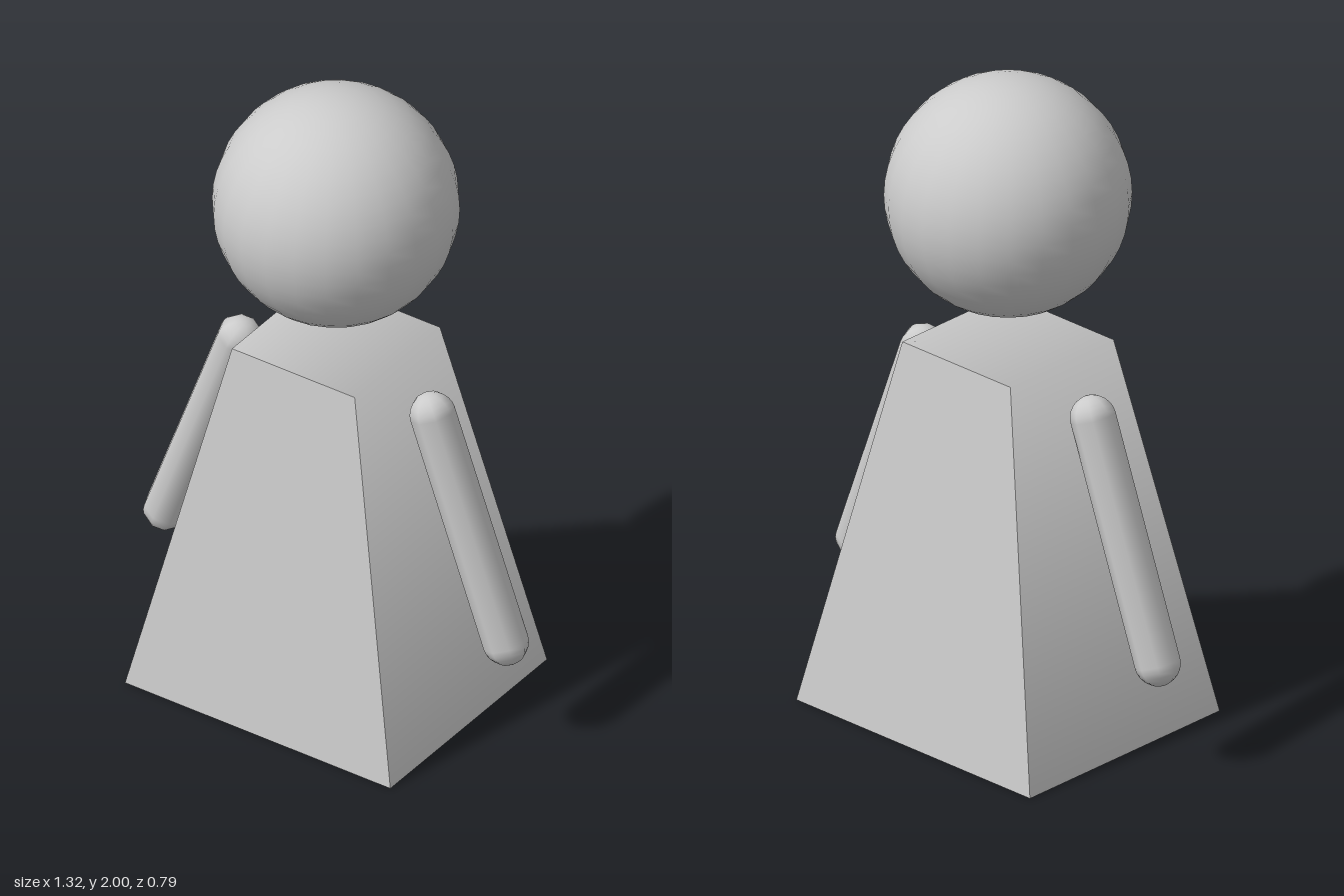
import * as THREE from 'three';
import { toCreasedNormals } from 'three/addons/utils/BufferGeometryUtils.js';

const material = new THREE.MeshStandardMaterial({ color: 0xcccccc });

function addPart(group, name, geometry, x, y, tilt = 0) {
  const mesh = new THREE.Mesh(geometry, material);
  mesh.name = name;
  mesh.position.set(x, y, 0);
  mesh.rotation.z = tilt;
  group.add(mesh);
}

// Box tapered towards a square top, soft only where top meets the two sides
function taperedBody(width, depth, top, height) {
  const geometry = new THREE.BoxGeometry(1, height, 1);
  const p = geometry.attributes.position;
  for (let i = 0; i < p.count; i++) {
    const upper = p.getY(i) > 0;
    p.setX(i, p.getX(i) * (upper ? top : width));
    p.setZ(i, p.getZ(i) * (upper ? top : depth));
  }
  return toCreasedNormals(geometry, THREE.MathUtils.degToRad(80));
}

export function createModel() {
  const model = new THREE.Group();
  model.name = 'figure';

  addPart(model, 'body', taperedBody(0.93, 0.79, 0.43, 1.17), 0, 0.585);
  addPart(model, 'head', new THREE.SphereGeometry(0.358, 24, 24), 0, 1.642);

  // Arms hang beside the body, spreading outwards towards the hands
  const arm = new THREE.CapsuleGeometry(0.067, 0.747, 6, 8);
  for (const side of [1, -1]) {
    addPart(model, side > 0 ? 'leftArm' : 'rightArm', arm, side * 0.467, 0.688, side * 0.351);
  }

  return model;
}
